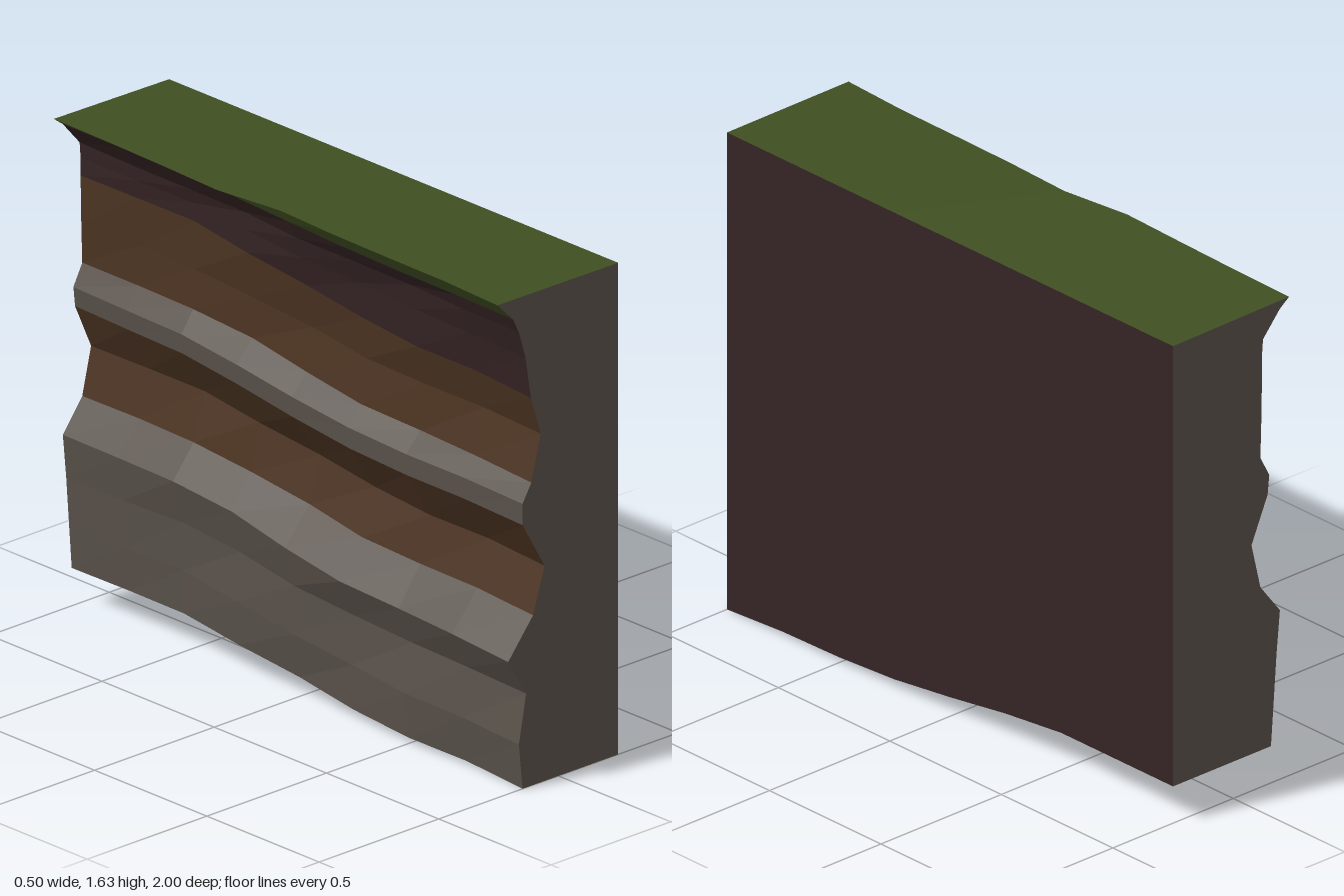
import * as THREE from 'three';

// Cliff profile at the front end and at the back end, from foot to grass edge
const FRONT = [[-0.15, 0], [-0.165, 0.15], [-0.135, 0.31], [-0.21, 0.435], [-0.106, 0.56],
  [-0.058, 0.71], [-0.15, 0.87], [-0.15, 0.94], [-0.113, 1.0], [-0.074, 1.15],
  [-0.115, 1.28], [-0.138, 1.42], [-0.165, 1.51], [-0.19, 1.56], [-0.255, 1.625]];
const BACK = [[-0.157, 0.125], [-0.168, 0.27], [-0.18, 0.43], [-0.194, 0.575], [-0.113, 0.68],
  [-0.076, 0.835], [-0.143, 0.985], [-0.15, 1.05], [-0.113, 1.12], [-0.117, 1.25],
  [-0.12, 1.41], [-0.12, 1.47], [-0.124, 1.52], [-0.194, 1.6], [-0.232, 1.628]];

// Values at the nine sections, from the front to the back
const RISE = [0, 0.12, 0.16, 0.28, 0.52, 0.8, 1, 1, 1];
const LIP = [-0.255, -0.242, -0.24, -0.236, -0.225, -0.255, -0.245, -0.237, -0.232];
const SIDE = 0.25, TOP = 1.622, LAST = RISE.length - 1;

// Closed ring of one section: cliff going up, then the top, the side wall and the foot
function section(k) {
  const t = k / LAST, s = RISE[k], swell = Math.sin(Math.PI * t);
  const ring = FRONT.map(([fx, fy], i) => {
    const [bx, by] = BACK[i];
    let x = fx + (bx - fx) * t;
    if (i === 6 || i === 7) x -= 0.025 * swell;
    else if (i < 13) x += 0.01 * swell * Math.sin(k * 2.1 + i * 1.3);
    if (i === 14) x = LIP[k];
    return [x, fy + (by - fy) * s, 1 - 2 * t];
  });
  ring.push([SIDE, TOP, 1 - 2 * t], [SIDE, 0.125 * s, 1 - 2 * t]);
  return ring;
}

export function createModel() {
  const group = new THREE.Group();
  const material = (name, color) => {
    const m = new THREE.MeshStandardMaterial({ color, flatShading: true });
    m.name = name;
    return m;
  };
  const stone = material('grey stone', 0x59514a);
  const clay = material('brown clay', 0x4c3422);
  const soil = material('dark soil', 0x352324);
  const grass = material('grass green', 0x404f22);

  const add = (name, geometry, mat) => {
    const mesh = new THREE.Mesh(geometry, mat);
    mesh.name = name;
    group.add(mesh);
  };

  const rings = RISE.map((_, k) => section(k));

  // Strip of flat faces along the whole length, between two ring positions
  const strip = (name, from, to, mat) => {
    const pos = [];
    for (let k = 0; k < LAST; k++) {
      for (let i = from; i < to; i++) {
        const j = (i + 1) % rings[0].length;
        const a = rings[k + 1][i], b = rings[k + 1][j], c = rings[k][j], d = rings[k][i];
        pos.push(...a, ...d, ...c, ...a, ...c, ...b);
      }
    }
    const g = new THREE.BufferGeometry();
    g.setAttribute('position', new THREE.Float32BufferAttribute(pos, 3));
    g.computeVertexNormals();
    add(name, g, mat);
  };

  // Layers of the cliff face
  strip('lowerStoneLayer', 0, 4, stone);
  strip('lowerClayLayer', 4, 6, clay);
  strip('stoneLedge', 6, 8, stone);
  strip('upperClayLayer', 8, 10, clay);
  strip('soilLayer', 10, 13, soil);
  strip('grassLip', 13, 14, grass);

  // Flat sides of the block
  strip('grassTop', 14, 15, grass);
  strip('soilWall', 15, 16, soil);
  strip('stoneUnderside', 16, 17, stone);

  // End faces; the back one is drawn mirrored and turned round
  const cap = (name, ring, sign) => {
    const shape = new THREE.Shape(ring.map(([x, y]) => new THREE.Vector2(x * sign, y)));
    const g = new THREE.ShapeGeometry(shape);
    if (sign < 0) g.rotateY(Math.PI);
    g.translate(0, 0, sign);
    add(name, g, stone);
  };
  cap('frontEnd', rings[0], 1);
  cap('backEnd', rings[LAST], -1);

  return group;
}
